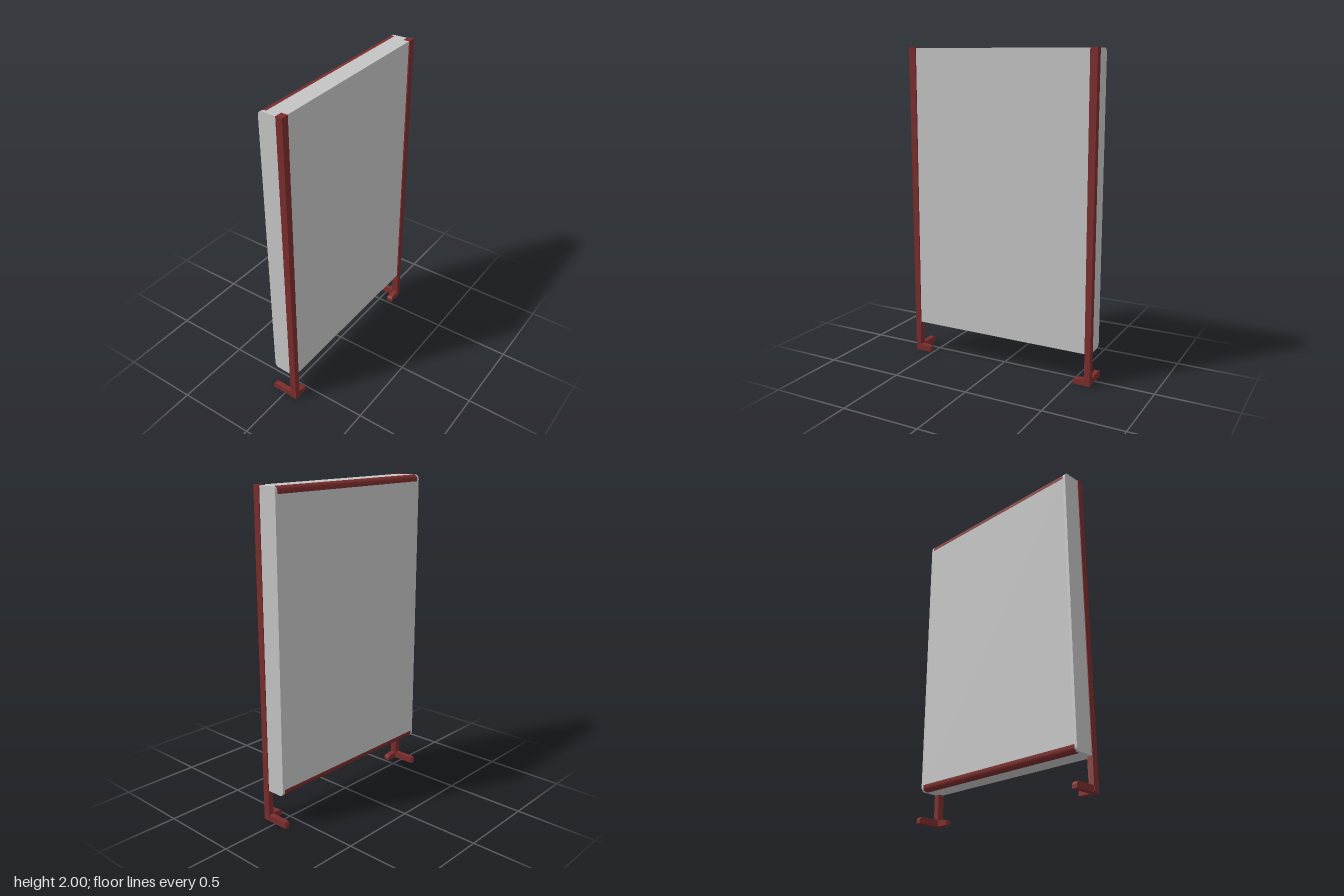
import * as THREE from 'three';

const shapeOf = (pts) => new THREE.Shape(pts.map(([a, b]) => new THREE.Vector2(a, b)));

// Quarter-round from angle a0 (degrees) about a centre
function arc(cx, cy, r, a0, a1, n = 6) {
  return Array.from({ length: n + 1 }, (_, i) => {
    const a = THREE.MathUtils.degToRad(a0 + ((a1 - a0) * i) / n);
    return [cx + r * Math.cos(a), cy + r * Math.sin(a)];
  });
}

// Profile in (x, y) pushed along z
function alongZ(pts, z0, z1) {
  const g = new THREE.ExtrudeGeometry(shapeOf(pts), { depth: z1 - z0, bevelEnabled: false });
  return g.translate(0, 0, z0);
}

// Profile in (z, y) pushed along x
function alongX(pts, x0, x1) {
  const g = new THREE.ExtrudeGeometry(shapeOf(pts), { depth: x1 - x0, bevelEnabled: false });
  return g.rotateY(-Math.PI / 2).translate(x1, 0, 0);
}

export function createModel() {
  const model = new THREE.Group();
  model.name = 'displayPanel';
  const grey = new THREE.MeshStandardMaterial({ color: 0xc4c4c4 });
  grey.name = 'panelGrey';
  const red = new THREE.MeshStandardMaterial({ color: 0x7a2c2c });
  red.name = 'frameRed';
  const add = (name, geometry, material) => {
    const mesh = new THREE.Mesh(geometry, material);
    mesh.name = name;
    model.add(mesh);
  };

  const front = 0.084, back = -0.07, bottom = 0.2, top = 1.996;
  const notch = 0.04, r = 0.028;

  // Panel between the end caps, notched at the back for the rails
  add('panel', alongX([
    [front, bottom], [front, top], [back + notch, top], [back + notch, top - notch],
    [back, top - notch], [back, bottom + notch], [back + notch, bottom + notch], [back + notch, bottom],
  ], -0.6, 0.6), grey);

  // Rounded rails along the upper and lower back edges
  add('topRail', alongX([
    [back + notch, top - notch], [back + notch, top],
    ...arc(back + r, top - r, r, 90, 180), [back, top - notch],
  ], -0.6, 0.6), red);
  add('bottomRail', alongX([
    [back + notch, bottom + notch], [back, bottom + notch],
    ...arc(back + r, bottom + r, r, 180, 270), [back + notch, bottom],
  ], -0.6, 0.6), red);

  for (const s of [1, -1]) {
    const side = s > 0 ? 'left' : 'right';

    // End cap with rounded back corners, drawn in slightly towards the back
    const cap = alongX([
      [front, bottom], [front, top],
      ...arc(back + r, top - r, r, 90, 180),
      ...arc(back + r, bottom + r, r, 180, 270),
    ], s > 0 ? 0.6 : -0.622, s > 0 ? 0.622 : -0.6);
    const p = cap.attributes.position;
    for (let i = 0; i < p.count; i++) {
      if (Math.abs(p.getX(i)) > 0.61) p.setX(i, s * (0.622 - (front - p.getZ(i)) * 0.03));
    }
    cap.computeVertexNormals();
    add(side + 'EndCap', cap, grey);

    // Post, slightly wider at the top
    add(side + 'Post', alongZ([
      [s * 0.626, 0], [s * 0.626, 2], [s * 0.58, 2], [s * 0.59, 0],
    ], 0.05, 0.092), red);

    // Foot prong pointing inwards
    add(side + 'InnerFoot', alongZ([
      [s * 0.6, 0], [s * 0.6, 0.042], [s * 0.53, 0.034],
      [s * 0.521, 0.029], [s * 0.516, 0.018], [s * 0.516, 0],
    ], 0.054, 0.0915), red);

    // Foot prong pointing backwards
    add(side + 'BackFoot', alongX([
      [0.06, 0], [0.06, 0.04], [-0.075, 0.04],
      [-0.086, 0.034], [-0.092, 0.022], [-0.092, 0],
    ], s > 0 ? 0.592 : -0.624, s > 0 ? 0.624 : -0.592), red);
  }
  return model;
}
